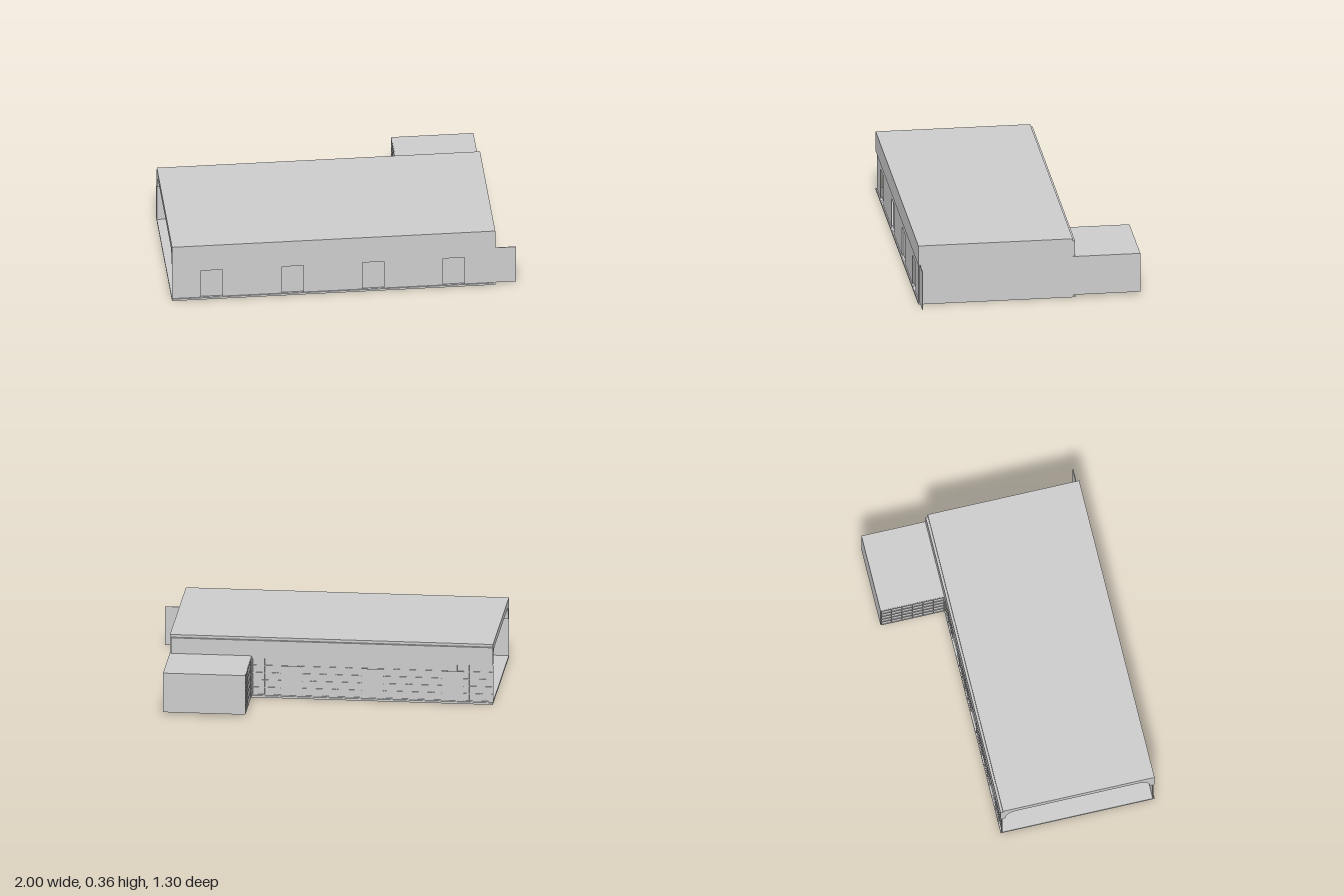
import * as THREE from 'three';

const mat = new THREE.MeshStandardMaterial({ color: 0xcccccc, side: THREE.DoubleSide });

function add(parent, name, geometry) {
  const mesh = new THREE.Mesh(geometry, mat);
  mesh.name = name;
  parent.add(mesh);
  return mesh;
}

// Box given by its minimum and maximum corners
function box(parent, name, x0, x1, y0, y1, z0, z1) {
  const mesh = add(parent, name, new THREE.BoxGeometry(x1 - x0, y1 - y0, z1 - z0));
  mesh.position.set((x0 + x1) / 2, (y0 + y1) / 2, (z0 + z1) / 2);
  return mesh;
}

const LEFT = 0.88, RIGHT = -1, FLOOR = 0.012, EAVES = 0.245;
const bays = [-0.767, -0.298, 0.171, 0.64]; // centres of doors and columns
const DOOR_W = 0.125, DOOR_TOP = 0.19;

// Wall with a doorway cut out at each given centre, facing along z
function doorWall(x0, x1, top, centres, depth) {
  const s = new THREE.Shape();
  s.moveTo(x0, FLOOR).lineTo(x1, FLOOR).lineTo(x1, top).lineTo(x0, top).closePath();
  for (const c of centres) {
    const a = c - DOOR_W / 2, b = c + DOOR_W / 2, y = FLOOR + 0.002;
    const hole = new THREE.Path();
    hole.moveTo(a, y).lineTo(a, DOOR_TOP).lineTo(b, DOOR_TOP).lineTo(b, y).closePath();
    s.holes.push(hole);
  }
  return new THREE.ExtrudeGeometry(s, { depth, bevelEnabled: false });
}

// Grid of glazing bars in the xy plane, facing +z, leaving doorways clear
function glazing(name, x0, x1, y0, y1, columns, rows, doors = []) {
  const g = new THREE.Group();
  g.name = name;
  const w = 0.0025, d = 0.004;
  const blocked = (x) => doors.some((c) => Math.abs(x - c) < DOOR_W / 2);
  for (let i = 0; i <= columns; i++) {
    const x = x0 + ((x1 - x0) * i) / columns;
    box(g, 'verticalBar', x - w, x + w, blocked(x) ? DOOR_TOP : y0, y1, 0, d);
  }
  for (let j = 0; j <= rows; j++) {
    const y = y0 + ((y1 - y0) * j) / rows;
    let start = x0;
    if (y < DOOR_TOP) {
      for (const c of doors) {
        box(g, 'horizontalBar', start, c - DOOR_W / 2, y - w, y + w, 0, d);
        start = c + DOOR_W / 2;
      }
    }
    box(g, 'horizontalBar', start, x1, y - w, y + w, 0, d);
  }
  return g;
}

export function createModel() {
  const model = new THREE.Group();
  model.name = 'hallBuilding';

  // Floor slab and closed end wall
  box(model, 'floorSlab', RIGHT, LEFT, 0, FLOOR, -0.268, 0.648);
  box(model, 'endWall', LEFT - 0.008, LEFT, 0, 0.362, -0.254, 0.648);

  // Roof with deep fascias and a coved ceiling, extruded along x
  const r = new THREE.Shape();
  r.moveTo(-0.648, 0.24).lineTo(-0.648, 0.362).lineTo(0.254, 0.362).lineTo(0.254, 0.346);
  r.lineTo(0.268, 0.346).lineTo(0.268, 0.24).lineTo(0.24, 0.24);
  r.quadraticCurveTo(0.24, 0.322, 0.16, 0.322);
  r.lineTo(-0.54, 0.322);
  r.quadraticCurveTo(-0.62, 0.322, -0.62, 0.24);
  r.closePath();
  const roof = new THREE.ExtrudeGeometry(r, {
    depth: LEFT - 0.008 - RIGHT, bevelEnabled: false, curveSegments: 10,
  });
  roof.rotateY(Math.PI / 2);
  add(model, 'roof', roof).position.x = RIGHT;

  // Front wall, running past the end wall as a fin
  add(model, 'frontWall', doorWall(RIGHT, 1, EAVES, bays, 0.004)).position.z = 0.637;
  // Glazed back wall
  const backDoors = bays.slice(0, 3);
  add(model, 'backWall', doorWall(RIGHT, 0.4, EAVES, backDoors, 0.004)).position.z = -0.26;

  // Recessed doors on both sides
  for (const c of bays) {
    box(model, 'frontDoor', c - 0.066, c + 0.066, FLOOR, DOOR_TOP + 0.004, 0.626, 0.631);
  }
  for (const c of backDoors) {
    box(model, 'backDoor', c - 0.066, c + 0.066, FLOOR, DOOR_TOP + 0.004, -0.255, -0.25);
  }

  // Back glazing bars, turned to face -z
  const backBars = glazing('backGlazing', -0.4, 1, 0.016, 0.238, 20, 5,
    backDoors.map((c) => -c).reverse());
  backBars.rotation.y = Math.PI;
  backBars.position.z = -0.26;
  model.add(backBars);

  // Low side wing at the back, glazed on its inner side
  box(model, 'backWing', 0.404, LEFT, 0.015, 0.252, -0.648, -0.254);
  const wingBars = glazing('wingGlazing', -0.644, -0.27, 0.02, 0.247, 6, 5);
  wingBars.rotation.y = -Math.PI / 2;
  wingBars.position.x = 0.404;
  model.add(wingBars);

  // Round columns with stepped bases
  const profile = [
    [0, 0], [0.064, 0], [0.064, 0.02], [0.056, 0.024], [0.05, 0.018], [0.028, 0.018],
    [0.026, 0.03], [0.026, 0.325],
  ].map(([x, y]) => new THREE.Vector2(x, y));
  const column = new THREE.LatheGeometry(profile, 28).toNonIndexed();
  column.computeVertexNormals();
  for (const c of bays) add(model, 'column', column).position.set(c, 0, 0.21);

  return model;
}
